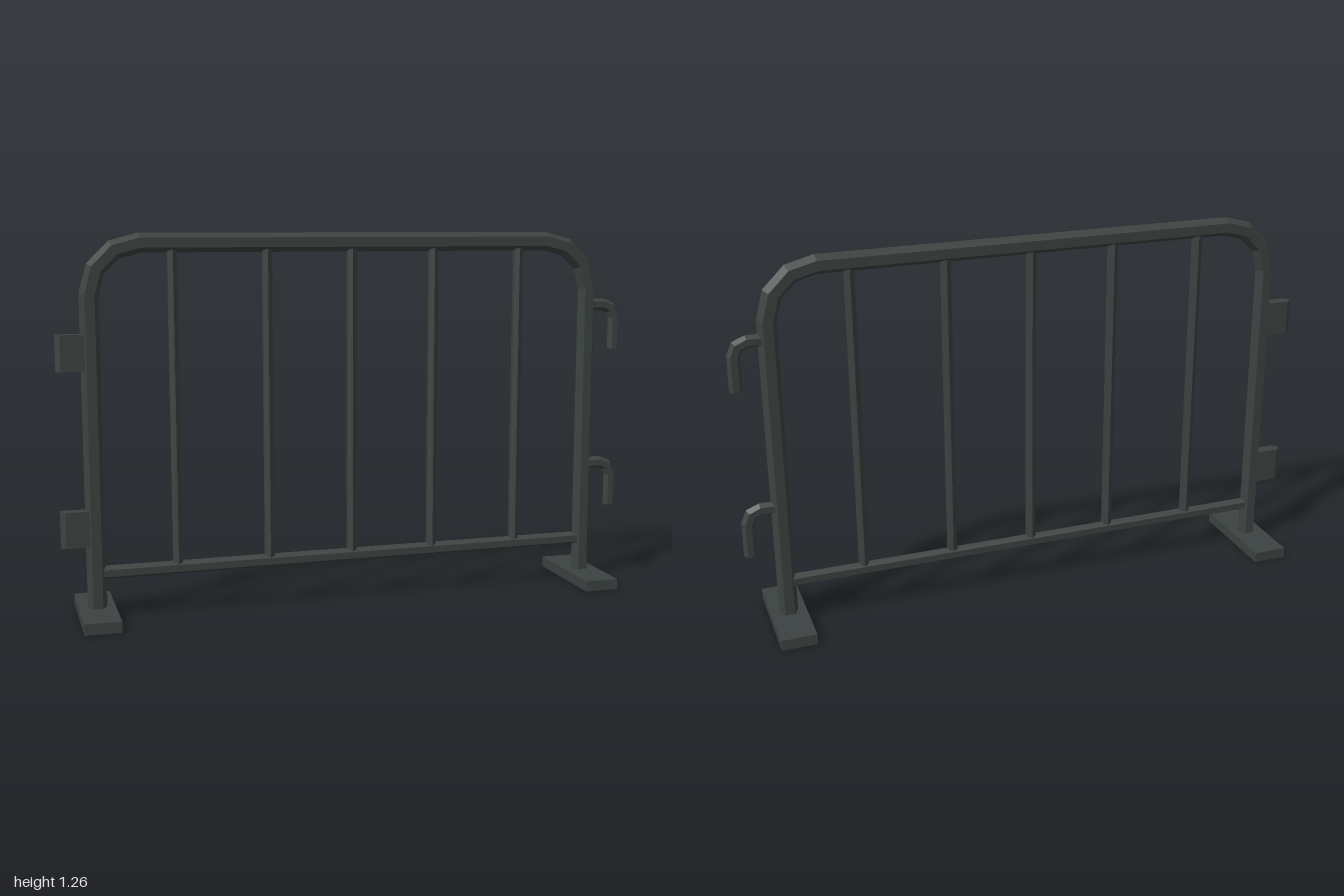
import * as THREE from 'three';

const steel = new THREE.MeshStandardMaterial({ color: 0x3c4341 });
steel.name = 'dark steel';

// Flat-faced hexagonal bar swept along [x, y] points with mitred joints.
// phase 0 puts a ridge in the plane of the path, PI / 6 puts it at front and back.
function hexBar(path, radius, phase = 0) {
  const pts = path.map(([x, y]) => new THREE.Vector2(x, y));
  const last = pts.length - 1;
  const dir = (i) => pts[i + 1].clone().sub(pts[i]).normalize();
  const rings = pts.map((p, i) => {
    const a = dir(Math.max(i - 1, 0));
    const b = dir(Math.min(i, last - 1));
    const t = a.clone().add(b).normalize();
    const mitre = radius / t.dot(a);
    return Array.from({ length: 6 }, (_, k) => {
      const ang = phase + (k * Math.PI) / 3;
      const s = Math.cos(ang) * mitre;
      return [p.x - t.y * s, p.y + t.x * s, Math.sin(ang) * radius];
    });
  });
  const out = [];
  const tri = (...corners) => corners.forEach((c) => out.push(...c));
  const centre = (p) => [p.x, p.y, 0];
  for (let k = 0; k < 6; k++) {
    const n = (k + 1) % 6;
    for (let i = 0; i < last; i++) {
      const [r, s] = [rings[i], rings[i + 1]];
      tri(r[k], r[n], s[n]);
      tri(r[k], s[n], s[k]);
    }
    tri(centre(pts[0]), rings[0][n], rings[0][k]);
    tri(centre(pts[last]), rings[last][k], rings[last][n]);
  }
  const geo = new THREE.BufferGeometry();
  geo.setAttribute('position', new THREE.Float32BufferAttribute(out, 3));
  geo.computeVertexNormals();
  return geo;
}

// Points on an arc, angles in degrees
function arc(cx, cy, r, from, to, steps) {
  return Array.from({ length: steps + 1 }, (_, i) => {
    const a = THREE.MathUtils.degToRad(from + ((to - from) * i) / steps);
    return [cx + r * Math.cos(a), cy + r * Math.sin(a)];
  });
}

export function createModel() {
  const group = new THREE.Group();
  group.name = 'crowdBarrier';
  const add = (name, geo, x = 0, y = 0, z = 0) => {
    const mesh = new THREE.Mesh(geo, steel);
    mesh.name = name;
    mesh.position.set(x, y, z);
    group.add(mesh);
  };

  const legR = -0.888, legL = 0.866, bend = 0.165, bendY = 1.068;

  // Bent outer frame
  add('frame', hexBar([
    [legR, 0.02],
    ...arc(legR + bend, bendY, bend, 180, 90, 3),
    ...arc(legL - bend, bendY, bend, 90, 0, 3),
    [legL, 0.02],
  ], 0.032));

  // Bottom rail and upright bars
  add('bottomRail', hexBar([[legR, 0.153], [legL, 0.153]], 0.023));
  [-0.618, -0.303, -0.01, 0.283, 0.599].forEach((x) =>
    add('uprightBar', hexBar([[x, 0.153], [x, 1.23]], 0.018, Math.PI / 6)));

  // Feet
  [-0.889, 0.866].forEach((x) =>
    add('foot', new THREE.BoxGeometry(0.12, 0.037, 0.368), x, 0.0185, 0));

  // Coupling hooks on the left leg
  const hook = hexBar([[legL, 1.007], ...arc(0.932, 0.962, 0.045, 90, 0, 2), [0.977, 0.847]], 0.021);
  [0, -0.576].forEach((y) => add('hook', hook, 0, y, 0));

  // Coupling plates on the right leg, with chamfered outer edges
  const outline = new THREE.Shape([
    [-0.89, -0.021], [-0.89, 0.021], [-0.985, 0.021],
    [-1, 0.011], [-1, -0.011], [-0.985, -0.021],
  ].map(([x, z]) => new THREE.Vector2(x, z)));
  const plate = new THREE.ExtrudeGeometry(outline, { depth: 0.119, bevelEnabled: false });
  plate.rotateX(-Math.PI / 2);
  [0.823, 0.246].forEach((y) => add('couplingPlate', plate, 0, y, 0));

  return group;
}
